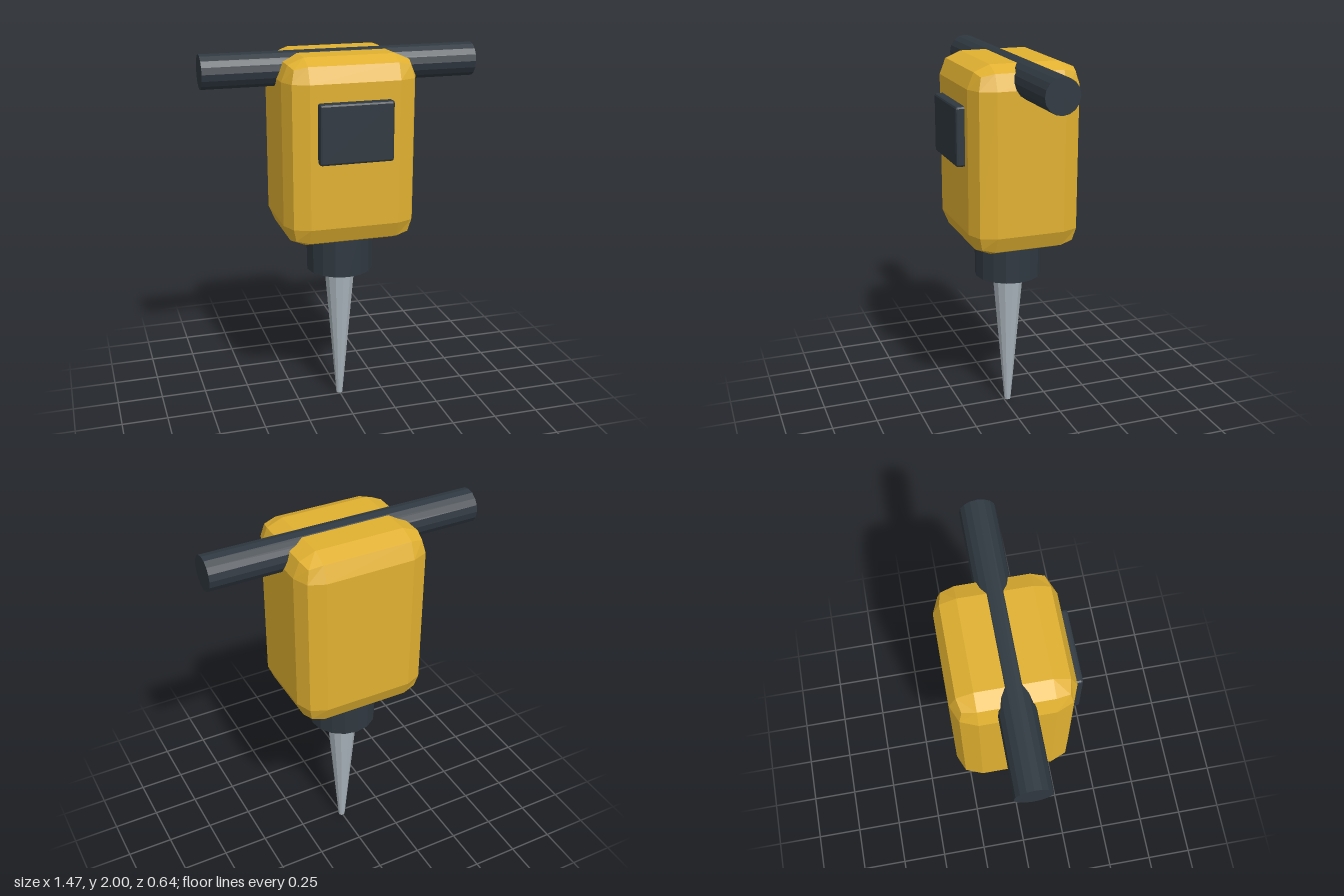
import * as THREE from 'three';
import { RoundedBoxGeometry } from 'three/addons/geometries/RoundedBoxGeometry.js';

const CZ = -0.023; // depth of the main axis

function material(name, color) {
  const m = new THREE.MeshStandardMaterial({ color });
  m.name = name;
  return m;
}

// Faceted look: one normal per face
function faceted(geometry) {
  const g = geometry.index ? geometry.toNonIndexed() : geometry;
  g.computeVertexNormals();
  return g;
}

export function createModel() {
  const yellow = material('yellow paint', 0xe0b030);
  const dark = material('dark rubber', 0x2f3840);
  const steel = material('steel', 0xa9b4bb);

  const model = new THREE.Group();
  model.name = 'jackhammer';

  function add(name, geometry, mat, x, y, z) {
    const mesh = new THREE.Mesh(faceted(geometry), mat);
    mesh.name = name;
    mesh.position.set(x, y, z);
    model.add(mesh);
    return mesh;
  }

  // Chamfered motor housing
  add('housing', new RoundedBoxGeometry(0.71, 0.99, 0.6, 1, 0.118), yellow, 0, 1.495, CZ);

  // Cross handle through the top of the housing
  add('handle', new THREE.CylinderGeometry(0.09, 0.09, 1.466, 16), dark, 0, 1.91, CZ)
    .rotation.z = Math.PI / 2;

  // Front panel
  add('frontPanel', new RoundedBoxGeometry(0.39, 0.312, 0.09, 1, 0.012), dark, -0.003, 1.624, 0.277);

  // Collar holding the chisel
  add('collar', new THREE.CylinderGeometry(0.182, 0.182, 0.25, 16), dark, 0, 0.915, CZ);

  // Tapered chisel
  add('chisel', new THREE.CylinderGeometry(0.087, 0.018, 0.8, 12), steel, 0, 0.4, CZ);

  return model;
}
